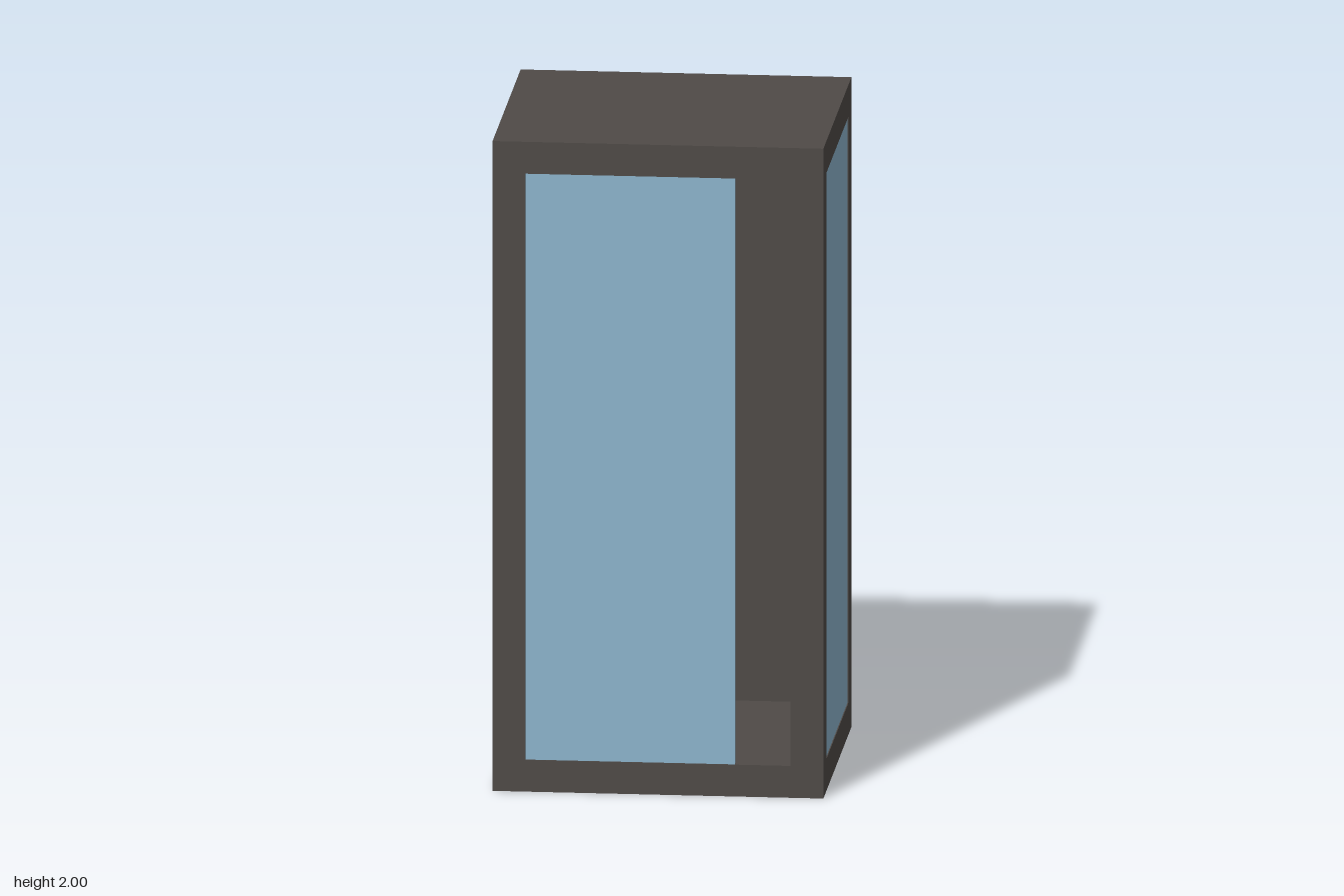
import * as THREE from 'three';

const W = 0.992, H = 2, D = 0.88; // outer size
const T = 0.098;                  // wall and post thickness
const GLASS = 0.02;               // pane thickness
const INSET = 0.003;              // panes sit just behind the frame face

export function createModel() {
  const model = new THREE.Group();
  model.name = 'showerCabin';

  const frame = new THREE.MeshStandardMaterial({ color: 0x4f4a47 });
  frame.name = 'dark frame';
  const glass = new THREE.MeshStandardMaterial({ color: 0x8cb4cc });
  glass.name = 'blue glass';

  // Box given by its lower and upper corners
  const box = (name, material, min, max) => {
    const size = max.map((v, i) => v - min[i]);
    const mesh = new THREE.Mesh(new THREE.BoxGeometry(...size), material);
    mesh.position.set(...max.map((v, i) => (v + min[i]) / 2));
    mesh.name = name;
    model.add(mesh);
    return mesh;
  };

  const x = W / 2, z = D / 2;

  // Floor tray and roof
  box('base', frame, [-x, 0, -z], [x, T, z]);
  box('roof', frame, [-x, H - T, -z], [x, H, z]);

  // Solid walls and the open front corner post
  box('backWall', frame, [-x, T, -z], [x, H - T, -z + T]);
  box('rightWall', frame, [-x, T, -z + T], [-x + T, H - T, z]);
  box('frontPost', frame, [x - T, T, z - T], [x, H - T, z]);

  // Side pane and partly open sliding door
  box('sideGlass', glass, [x - INSET - GLASS, T, -z + T], [x - INSET, H - T, z - T]);
  box('slidingDoor', glass, [-x + T, T, z - INSET - GLASS], [0.23, H - T, z - INSET]);

  // Round tap on the inside of the back wall
  const tap = new THREE.Mesh(new THREE.CylinderGeometry(0.03, 0.03, 0.05, 24), frame);
  tap.rotation.x = Math.PI / 2;
  tap.position.set(-0.12, 1.13, -z + T + 0.025);
  tap.name = 'tap';
  model.add(tap);

  return model;
}
